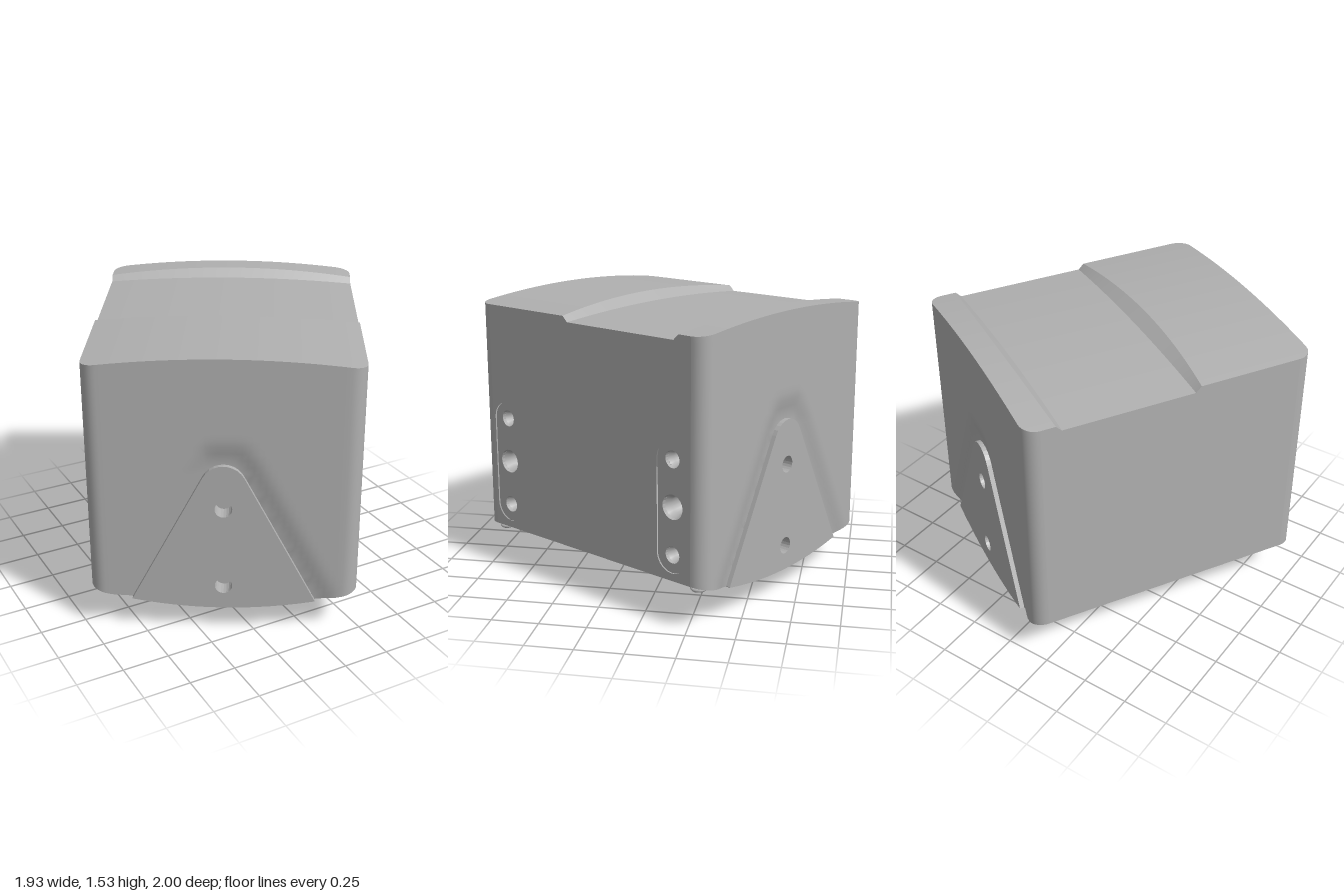
import * as THREE from 'three';
import { mergeGeometries, toCreasedNormals } from 'three/addons/utils/BufferGeometryUtils.js';

// Housing half width, half depth and vertical corner radius
const A = 0.693, B = 0.788, R = 0.08;
const AI = A - R, BI = B - R;
const grey = new THREE.MeshStandardMaterial({ color: 0xb0b0b0, side: THREE.DoubleSide });
grey.name = 'housing grey';

const arch = u => 1 - (u / A) ** 2;
const ease = t => THREE.MathUtils.smoothstep(t, 0, 1);
const crown = u => 1.49 + 0.045 * arch(u);
const keel = u => 0.24 - 0.1 * arch(u);
const padHalf = y => 0.09 + (0.93 - y) * 0.52;

// Depth of an end wall: rounded corners, sunk around and behind the triangular pad
function wallDepth(u, y) {
  const c = Math.max(0, Math.abs(u) - AI);
  const round = BI + Math.sqrt(Math.max(0, R * R - c * c));
  const inside = y > 0.97 ? -Math.hypot(Math.max(0, Math.abs(u) - 0.05), y - 0.97)
    : padHalf(y) - Math.abs(u);
  const core = y < 0.88 ? ease((inside - 0.03) / 0.05) : 0;
  return round - 0.025 * ease(1 + Math.min(0, inside) / 0.14) - 0.085 * core;
}

// Top with a lower middle band; bottom with a connector pocket
function topY(u, v) {
  return v > -0.601 && v < 0.111 ? 1.46 + 0.03 * arch(u) : crown(u);
}
function bottomY(u, v) {
  return u > -0.09 && Math.abs(v) < 0.656 ? 0.24 : keel(u);
}

function grid(rows, flip) {
  const n = rows[0].length, pos = rows.flat(2), index = [];
  for (let i = 0; i < rows.length - 1; i++) {
    for (let j = 0; j < n - 1; j++) {
      const a = i * n + j, b = a + n, c = b + 1, d = a + 1;
      index.push(...(flip ? [a, c, b, a, d, c] : [a, b, c, a, c, d]));
    }
  }
  const g = new THREE.BufferGeometry();
  g.setAttribute('position', new THREE.Float32BufferAttribute(pos, 3));
  g.setIndex(index);
  return g;
}

function shellGeometry() {
  const us = [-0.1, -0.085];
  for (let i = 0; i <= 8; i++) {
    const u = AI + R * Math.cos(i / 8 * Math.PI / 2);
    us.push(u, -u);
  }
  for (let i = 1; i < 40; i++) us.push(-AI + 2 * AI * i / 40);
  us.sort((p, q) => p - q);
  const wall = s => us.map(u => Array.from({ length: 37 }, (_, j) => {
    const y = THREE.MathUtils.lerp(keel(u), crown(u), j / 36);
    return [u, y, s * wallDepth(u, y)];
  }));
  const cap = (height, edge) => us.map(u => {
    const w = wallDepth(u, edge(u)), k = arch(u);
    return [w, 0.67, 0.65, 0.14 + 0.04 * k, 0.11, -0.6, -0.63 - 0.02 * k, -0.655, -0.67, -w]
      .map(v => [u, height(u, v), v]);
  });
  const merged = mergeGeometries([
    grid(wall(1), false), grid(wall(-1), true),
    grid(cap(topY, crown), true), grid(cap(bottomY, keel), false),
  ]);
  return toCreasedNormals(merged, 0.5);
}

function circle(x, y, r) {
  return new THREE.Path().absarc(x, y, r, 0, Math.PI * 2, true);
}

function stadium(x, r, low, high) {
  const s = new THREE.Shape();
  s.absarc(x, high - r, r, 0, Math.PI, false);
  s.absarc(x, low + r, r, Math.PI, Math.PI * 2, false);
  s.closePath();
  return s;
}

export function createModel() {
  const model = new THREE.Group();
  const unit = new THREE.Group();
  unit.name = 'sensorUnit';
  unit.rotation.y = -Math.PI / 6;
  model.add(unit);

  function add(name, geometry, parent = unit) {
    const m = new THREE.Mesh(geometry, grey);
    m.name = name;
    parent.add(m);
    return m;
  }

  add('housing', shellGeometry());

  // Flat side walls with the band notch; the right one carries two slots
  const slots = [0.595, -0.588];
  for (const s of [1, -1]) {
    const outline = [[BI, 1.49], [0.14, 1.49], [0.11, 1.46], [-0.6, 1.46], [-0.63, 1.49],
      [-BI, 1.49], [-BI, 0.24], [BI, 0.24]].map(([v, y]) => new THREE.Vector2(-s * v, y));
    const shape = new THREE.Shape(outline);
    if (s > 0) for (const v of slots) shape.holes.push(stadium(-v, 0.095, 0.28, 0.96));
    const wall = add(s > 0 ? 'slottedWall' : 'plainWall', new THREE.ShapeGeometry(shape));
    wall.rotation.y = s * Math.PI / 2;
    wall.position.x = s * A;
  }

  // Sunken mounting strips with three blind holes each
  const holes = [[0.87, 0.045], [0.625, 0.065], [0.375, 0.045]];
  for (const v of slots) {
    const strip = new THREE.Group();
    strip.name = 'mountingStrip';
    strip.rotation.y = Math.PI / 2;
    strip.position.set(A - 0.028, 0, v);
    unit.add(strip);
    const plate = stadium(0, 0.095, 0.28, 0.96);
    for (const [y, r] of holes) plate.holes.push(circle(0, y, r));
    add('stripPlate', new THREE.ExtrudeGeometry(plate,
      { depth: 0.02, bevelEnabled: false, curveSegments: 10 }), strip);
    for (const [y, r] of holes) {
      const cup = add('threadedHole', new THREE.LatheGeometry([
        new THREE.Vector2(r, 0), new THREE.Vector2(r * 0.75, -0.03),
        new THREE.Vector2(r * 0.75, -0.12), new THREE.Vector2(0, -0.12)], 16), strip);
      cup.rotation.x = Math.PI / 2;
      cup.position.y = y;
    }
  }

  // Triangular pads on both end walls
  for (const s of [1, -1]) {
    const pad = new THREE.Shape();
    pad.moveTo(-padHalf(0.19), 0.19);
    for (let i = 0; i <= 12; i++) {
      const u = padHalf(0.19) * (i / 6 - 1);
      pad.lineTo(u, keel(u));
    }
    pad.lineTo(padHalf(0.9), 0.9);
    pad.bezierCurveTo(0.06, 0.99, -0.06, 0.99, -padHalf(0.9), 0.9);
    pad.closePath();
    for (const y of [0.725, 0.275]) pad.holes.push(circle(0, y, 0.045));
    const mesh = add('triangularPad', new THREE.ExtrudeGeometry(pad,
      { depth: 0.09, bevelEnabled: false, curveSegments: 10 }));
    mesh.rotation.y = s > 0 ? 0 : Math.PI;
    mesh.position.z = s * (B - 0.09);
  }

  // Corner screw seats on the underside
  for (const u of [-0.61, 0.61]) for (const v of [-0.705, 0.705]) {
    const seat = add('screwSeat', new THREE.TorusGeometry(0.043, 0.008, 6, 20));
    seat.rotation.set(Math.PI / 2, Math.sign(u) * -0.25, 0);
    seat.position.set(u, keel(u), v);
  }

  // Connectors turned as profiles, with sockets open downwards
  function connector(name, v, profile) {
    const g = new THREE.Group();
    g.name = name;
    g.position.set(0.16, 0, v);
    unit.add(g);
    const pts = profile.map(([r, y]) => new THREE.Vector2(r, y));
    add('connectorShell', toCreasedNormals(new THREE.LatheGeometry(pts, 32), 0.5), g);
    return g;
  }
  const plug = connector('plugConnector', 0.3, [
    [0, 0.1], [0.08, 0.1], [0.08, 0], [0.1, 0], [0.107, 0.02], [0.107, 0.07], [0.09, 0.08],
    [0.09, 0.09], [0.105, 0.09], [0.117, 0.1], [0.117, 0.165], [0.105, 0.175], [0.105, 0.215],
    [0.18, 0.215], [0.18, 0.242]]);
  const socket = connector('socketConnector', -0.287, [
    [0, 0.17], [0.112, 0.17], [0.112, 0.11], [0.13, 0.11], [0.137, 0.12], [0.137, 0.212],
    [0.185, 0.215], [0.185, 0.242]]);

  // Pins of the plug and the four-part core of the socket
  for (let i = 0; i < 4; i++) {
    const t = (i + 0.5) * Math.PI / 2;
    const pin = add('contactPin', new THREE.CylinderGeometry(0.01, 0.01, 0.07, 8), plug);
    pin.position.set(0.04 * Math.cos(t), 0.07, 0.04 * Math.sin(t));
    const core = add('coreQuarter',
      new THREE.CylinderGeometry(0.075, 0.075, 0.1, 8, 1, false, 0, Math.PI / 2), socket);
    core.rotation.y = i * Math.PI / 2;
    core.position.set(0.008 * Math.cos(t), 0.12, 0.008 * Math.sin(t));
  }
  return model;
}
